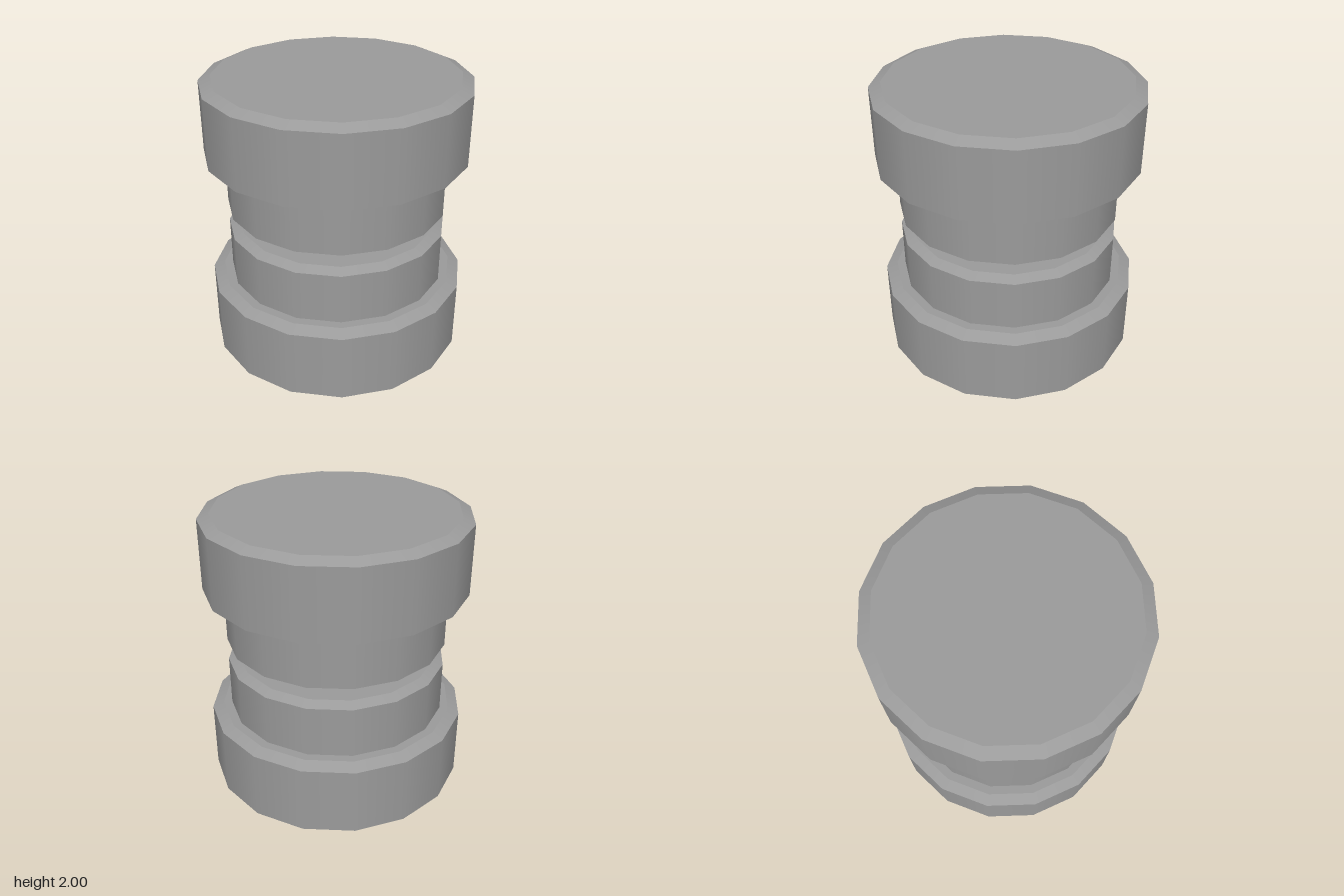
import * as THREE from 'three';
import { mergeGeometries } from 'three/addons/utils/BufferGeometryUtils.js';

const SIDES = 16;
const material = new THREE.MeshStandardMaterial({ color: 0x9b9b9b });

// Stacks one ring per pair of [radius, y] points: smooth around, sharp between rings.
function turned(name, profile) {
  const bands = [];
  for (let i = 0; i < profile.length - 1; i++) {
    const [r0, y0] = profile[i];
    const [r1, y1] = profile[i + 1];
    const band = new THREE.CylinderGeometry(r1, r0, y1 - y0, SIDES, 1, true);
    bands.push(band.translate(0, (y0 + y1) / 2, 0));
  }
  // Flat end caps
  const addCap = ([r, y], tilt) => {
    const cap = new THREE.CircleGeometry(r, SIDES);
    bands.push(cap.rotateX(tilt).translate(0, y, 0));
  };
  addCap(profile[0], Math.PI / 2);
  addCap(profile[profile.length - 1], -Math.PI / 2);
  const mesh = new THREE.Mesh(mergeGeometries(bands), material);
  mesh.name = name;
  return mesh;
}

export function createModel() {
  const group = new THREE.Group();
  group.name = 'spool';

  // Wide end discs, bevelled on both rims
  const disc = [[0.83, 0], [0.91, 0.035], [0.91, 0.525], [0.83, 0.56]];
  // Narrower collars, bevelled only on the rim facing the middle
  const collar = [[0.77, 0.56], [0.77, 0.92], [0.7, 0.95]];
  // The upper half mirrors the lower one about y = 1
  const flip = (profile) => profile.map(([r, y]) => [r, 2 - y]).reverse();

  group.add(
    turned('lowerDisc', disc),
    turned('lowerCollar', collar),
    turned('core', [[0.337, 0.95], [0.337, 1.05]]),
    turned('upperCollar', flip(collar)),
    turned('upperDisc', flip(disc)),
  );
  return group;
}
